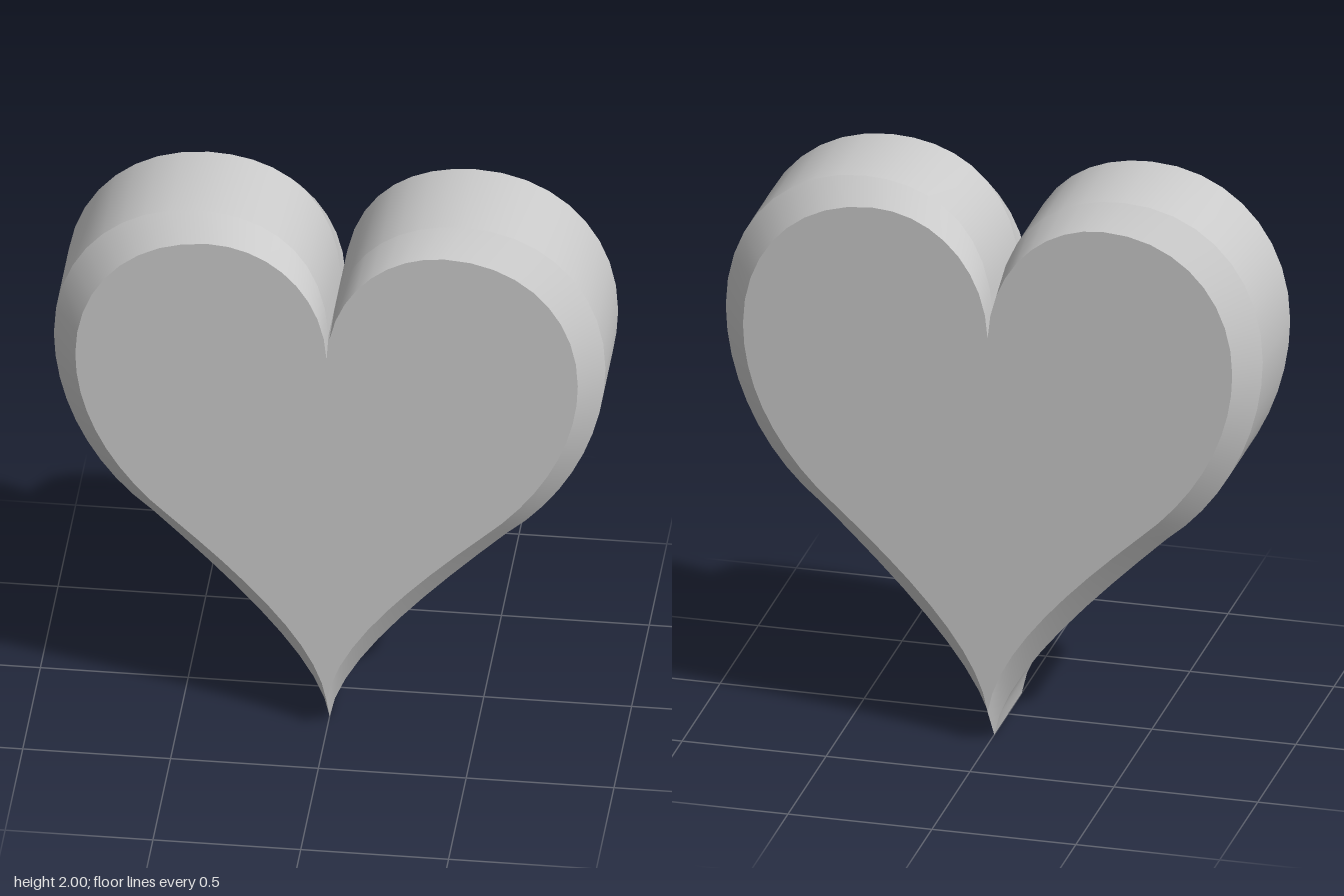
import * as THREE from 'three';

const STEPS = 9;          // segments per curve
const Z_FACE = 0.268;     // flat faces
const Z_WALL = 0.18;      // where the chamfer meets the side wall

// One half of a heart outline (x >= 0), from the bottom tip up to the cleft.
// Flat list: start point, then (control, control, end) per curve.
const RIM = [
  [0, 0], [0.03, 0.22], [0.3, 0.5], [0.6, 0.785],
  [0.8, 0.94], [0.93, 1.2], [0.933, 1.47],
  [0.933, 1.78], [0.73, 2], [0.45, 2],
  [0.22, 2], [0.02, 1.87], [0.004, 1.53],
];
const FACE = [
  [0, 0.12], [0.03, 0.33], [0.24, 0.56], [0.53, 0.82],
  [0.73, 0.99], [0.85, 1.22], [0.85, 1.45],
  [0.85, 1.72], [0.67, 1.925], [0.4, 1.925],
  [0.19, 1.925], [0.01, 1.75], [0, 1.49],
];

function halfOutline(ctrl) {
  const v = ctrl.map(([x, y]) => new THREE.Vector2(x, y));
  const pts = [v[0]];
  for (let i = 0; i + 3 < v.length; i += 3) {
    const curve = new THREE.CubicBezierCurve(v[i], v[i + 1], v[i + 2], v[i + 3]);
    pts.push(...curve.getPoints(STEPS).slice(1));
  }
  return pts;
}

// The other half, running from the cleft back down to the tip
const mirrored = (pts) => pts.map((p) => new THREE.Vector2(-p.x, p.y)).reverse();

// Smooth strip between two outlines at two depths (zBack < zFront)
function strip(back, zBack, front, zFront) {
  const pos = [], index = [];
  back.forEach((b, i) => {
    pos.push(b.x, b.y, zBack, front[i].x, front[i].y, zFront);
    if (i < back.length - 1) {
      const k = i * 2;
      index.push(k, k + 2, k + 3, k, k + 3, k + 1);
    }
  });
  const geo = new THREE.BufferGeometry();
  geo.setAttribute('position', new THREE.Float32BufferAttribute(pos, 3));
  geo.setIndex(index);
  geo.computeVertexNormals();
  return geo;
}

export function createModel() {
  const group = new THREE.Group();
  group.name = 'heart';
  const material = new THREE.MeshStandardMaterial({ color: 0xcccccc, side: THREE.DoubleSide });
  const add = (name, geometry) => {
    const mesh = new THREE.Mesh(geometry, material);
    mesh.name = name;
    group.add(mesh);
    return mesh;
  };

  const rim = halfOutline(RIM);
  const face = halfOutline(FACE);

  // Side wall and chamfers, one set per half so tip and cleft stay sharp
  const halves = [['left', rim, face], ['right', mirrored(rim), mirrored(face)]];
  for (const [side, outer, inner] of halves) {
    add(side + 'Wall', strip(outer, -Z_WALL, outer, Z_WALL));
    add(side + 'FrontChamfer', strip(outer, Z_WALL, inner, Z_FACE));
    add(side + 'BackChamfer', strip(inner, -Z_FACE, outer, -Z_WALL));
  }

  // Flat front and back faces
  const outline = [...face, ...mirrored(face).slice(1, -1)];
  const cap = new THREE.ShapeGeometry(new THREE.Shape(outline));
  add('frontFace', cap).position.z = Z_FACE;
  const backFace = add('backFace', cap);
  backFace.rotation.y = Math.PI;
  backFace.position.z = -Z_FACE;

  return group;
}
